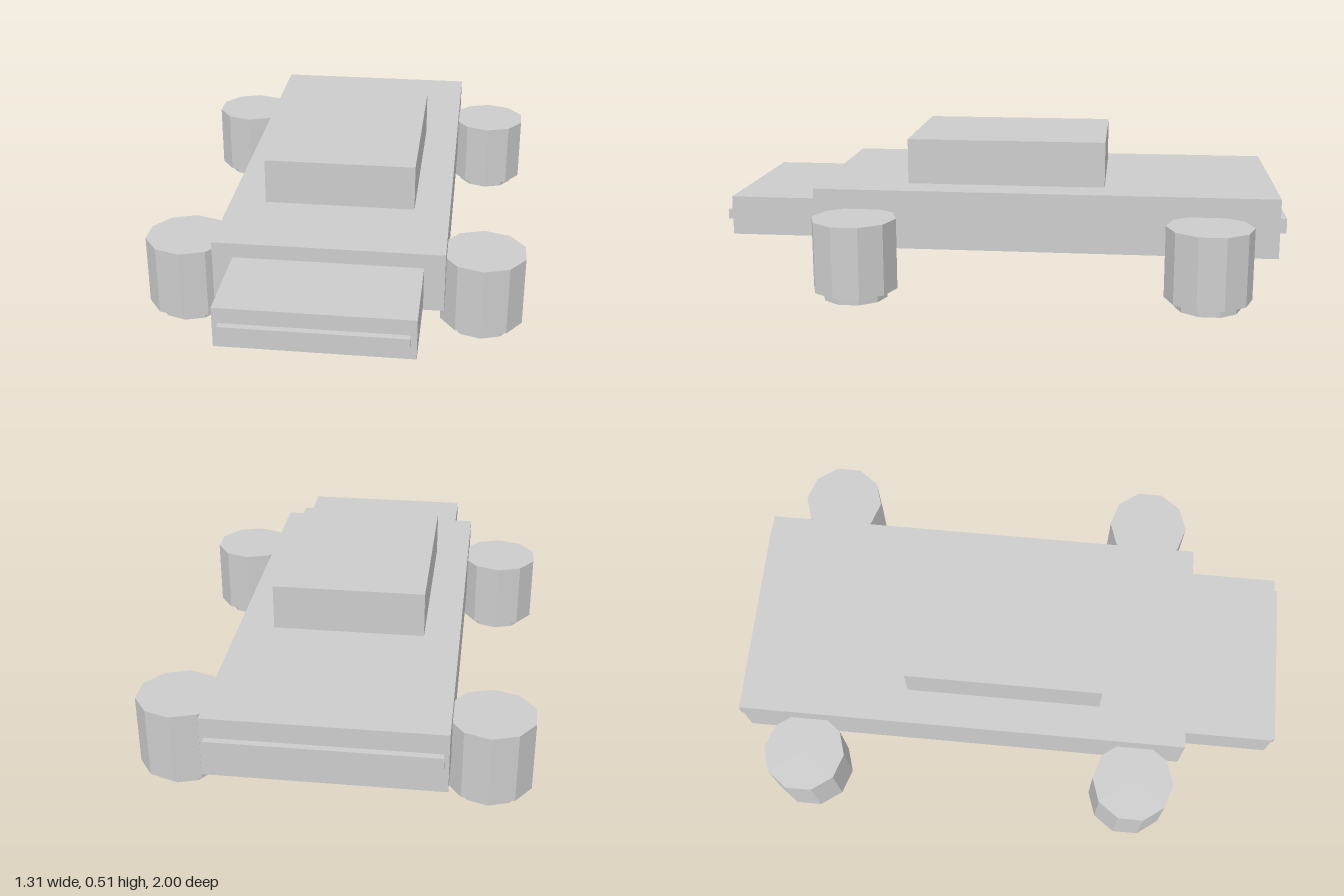
import * as THREE from 'three';

export function createModel() {
  const model = new THREE.Group();
  model.name = 'vehicle';
  const grey = new THREE.MeshStandardMaterial({ color: 0xcccccc, flatShading: true });
  grey.name = 'plain grey';

  const add = (name, geometry, parent = model) => {
    const mesh = new THREE.Mesh(geometry, grey);
    mesh.name = name;
    parent.add(mesh);
    return mesh;
  };

  // Box centred on x, given its width and its y and z ranges
  const slab = (name, width, y0, y1, z0, z1) =>
    add(name, new THREE.BoxGeometry(width, y1 - y0, z1 - z0))
      .position.set(0, (y0 + y1) / 2, (z0 + z1) / 2);

  slab('body', 0.78, 0.14, 0.35, -0.977, 0.655);
  slab('nose', 0.64, 0.158, 0.298, 0.655, 0.977);
  slab('cabin', 0.53, 0.35, 0.512, -0.373, 0.335);
  slab('frontBar', 0.6, 0.209, 0.244, 0.977, 1);
  slab('rearBar', 0.75, 0.228, 0.28, -1, -0.977);

  // Four upright ten-sided pods, each with a smaller foot below
  const podGeometry = new THREE.CylinderGeometry(0.148, 0.148, 0.248, 10);
  const footGeometry = new THREE.CylinderGeometry(0.113, 0.113, 0.032, 10);
  for (const [end, z] of [['front', 0.48], ['rear', -0.732]]) {
    for (const [side, x] of [['Left', 0.515], ['Right', -0.515]]) {
      const pod = new THREE.Group();
      pod.name = `${end}${side}Pod`;
      pod.position.set(x, 0, z);
      add('podHousing', podGeometry, pod).position.y = 0.156;
      add('podFoot', footGeometry, pod).position.y = 0.016;
      model.add(pod);
    }
  }

  return model;
}
